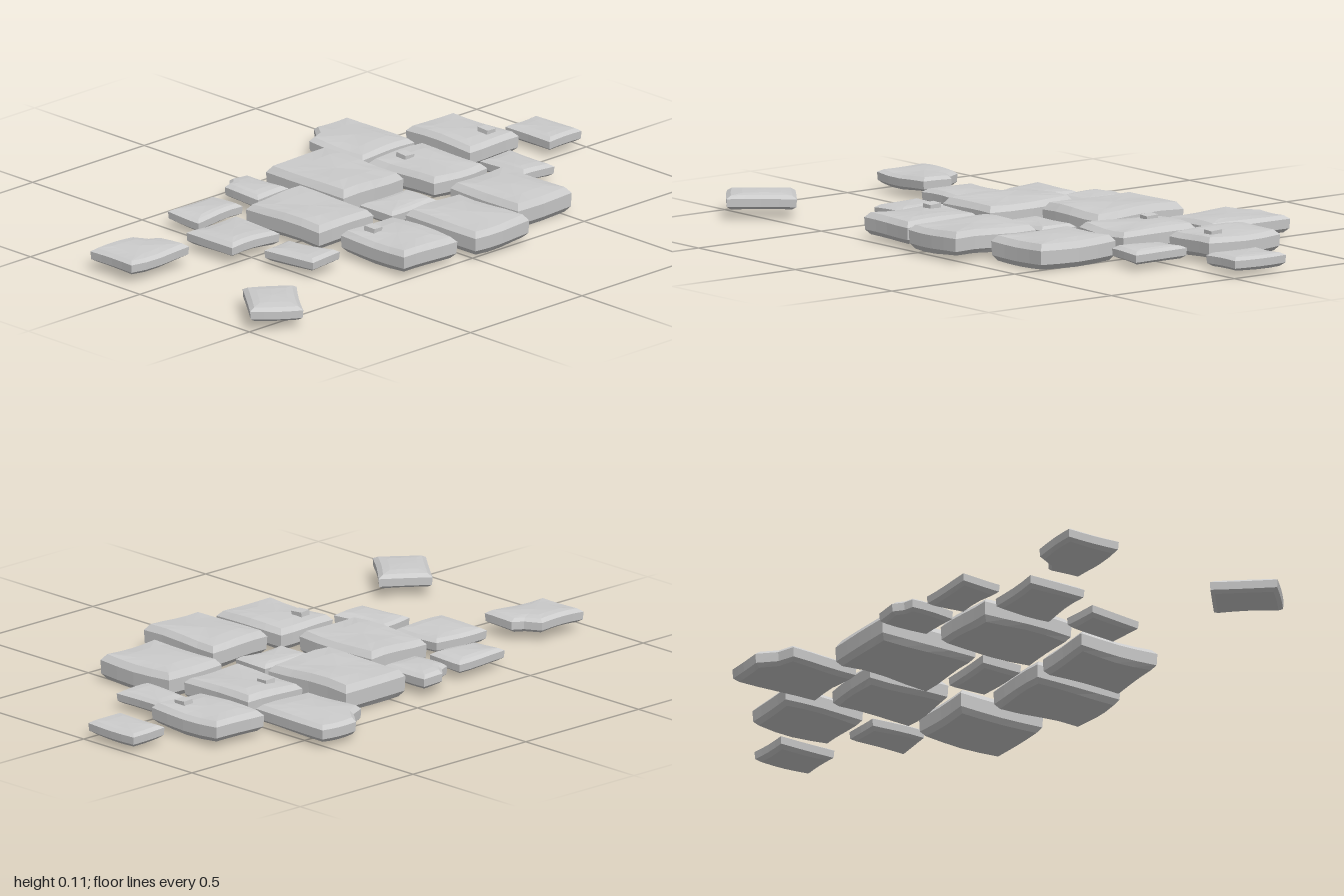
import * as THREE from 'three';

const material = new THREE.MeshStandardMaterial({ color: 0xcccccc, flatShading: true });

// Corners of a rectangle, clockwise seen from above
const SIGNS = [[-1, -1], [1, -1], [1, 1], [-1, 1]];

// Gentle unevenness of the worn stone
const wave = (x, z, s) => Math.sin(x * 19 + s * 2.3) * Math.cos(z * 15 + s * 1.7);

// Slightly skewed rectangle; one corner may be chipped off by [corner, along x, along z]
function slabCorners(w, d, seed, chip) {
  return SIGNS.flatMap(([sx, sz], i) => {
    const x = sx * (w / 2 - 0.004 + 0.004 * Math.sin(seed * 2.7 + i * 1.9));
    const z = sz * (d / 2 - 0.004 + 0.004 * Math.cos(seed * 1.3 + i * 2.6));
    if (!chip || chip[0] !== i) return [[x, z]];
    const [, cx, cz] = chip;
    const cut = [[x, z - sz * cz], [x - sx * cx * 0.55, z - sz * cz * 0.72], [x - sx * cx, z]];
    return sx * sz > 0 ? cut : cut.reverse();
  });
}

// Subdivide the outline, bowing each long edge slightly
function wornOutline(corners, seed) {
  return corners.flatMap(([x, z], i) => {
    const [nx, nz] = corners[(i + 1) % corners.length];
    const dx = nx - x, dz = nz - z;
    const steps = Math.hypot(dx, dz) > 0.1 ? 4 : 1;
    return Array.from({ length: steps }, (_, k) => {
      const t = k / steps;
      const bow = Math.sin(t * Math.PI) * 0.02 * Math.sin(seed * 3.1 + i * 2.2);
      return [x + dx * t - dz * bow, z + dz * t + dx * bow];
    });
  });
}

// Slab skin: rings from the underside centre, around the bevelled rim, to the top centre
function slabGeometry(w, d, y0, y1, seed, chip) {
  const outline = wornOutline(slabCorners(w, d, seed, chip), seed);
  const h = y1 - y0;
  // scale, inset, height, unevenness
  const rings = [
    [0, 0, y0, 0], [1, 0.016, y0, 0.006], [1, 0.002, y0 + h * 0.2, 0.004],
    [1, 0, y1 - h * 0.28, 0.004], [1, 0.016, y1 - 0.004, 0.005],
    [0.55, 0, y1 - 0.001, 0.004], [0, 0, y1, 0.003],
  ];
  const pos = [], index = [], m = outline.length;
  for (const [scale, inset, y, rough] of rings) {
    for (const [x, z] of outline) {
      const px = x * scale * (1 - 2 * inset / w);
      const pz = z * scale * (1 - 2 * inset / d);
      pos.push(px, Math.max(0, y + rough * wave(px, pz, seed)), pz);
    }
  }
  for (let r = 0; r < rings.length - 1; r++) {
    for (let i = 0; i < m; i++) {
      const a = r * m + i, b = r * m + (i + 1) % m;
      if (r > 0) index.push(a, a + m, b);
      if (r < rings.length - 2) index.push(b, a + m, b + m);
    }
  }
  const g = new THREE.BufferGeometry();
  g.setAttribute('position', new THREE.Float32BufferAttribute(pos, 3));
  g.setIndex(index);
  g.computeVertexNormals();
  return g;
}

export function createModel() {
  const group = new THREE.Group();
  group.name = 'stonePath';

  // Paving slab centred on (x, z), with its width, depth, underside and top heights
  function addSlab(x, z, w, d, y0, y1, { turn = 0, chip } = {}) {
    const number = group.children.length + 1;
    const slab = new THREE.Mesh(slabGeometry(w, d, y0, y1, number, chip), material);
    slab.position.set(x, 0, z);
    slab.rotation.y = turn;
    slab.name = `pavingSlab${number}`;
    group.add(slab);
  }

  // Outlying slabs on the right
  addSlab(-0.828, -0.177, 0.255, 0.2, 0.03, 0.08, { chip: [1, 0.065, 0.075] });
  addSlab(-0.859, 0.461, 0.182, 0.232, 0.03, 0.08, { turn: -0.67 });

  // Small slabs around the right edge
  addSlab(-0.393, -0.316, 0.212, 0.147, 0.025, 0.07);
  addSlab(-0.16, -0.345, 0.15, 0.195, 0.03, 0.08, { chip: [0, 0.06, 0.04] });
  addSlab(-0.492, -0.088, 0.22, 0.212, 0.025, 0.075);
  addSlab(-0.452, 0.178, 0.138, 0.208, 0.022, 0.068, { turn: 0.15 });

  // Large slabs in the middle
  addSlab(-0.21, -0.03, 0.255, 0.345, 0.016, 0.1);
  addSlab(0.093, -0.223, 0.28, 0.362, 0.008, 0.102);
  addSlab(0.084, 0.075, 0.215, 0.148, 0.022, 0.072);
  addSlab(0.386, -0.094, 0.24, 0.305, 0.015, 0.09);

  // Front row
  addSlab(-0.182, 0.344, 0.24, 0.302, 0.018, 0.094);
  addSlab(0.11, 0.367, 0.252, 0.33, 0.018, 0.1);
  addSlab(0.402, 0.264, 0.252, 0.318, 0.005, 0.092);

  // Back and left edge
  addSlab(0.398, -0.448, 0.248, 0.324, 0.02, 0.08, { chip: [0, 0.1, 0.08] });
  addSlab(0.667, -0.227, 0.216, 0.302, 0.02, 0.092);
  addSlab(0.63, 0.058, 0.143, 0.212, 0.02, 0.066);
  addSlab(0.92, -0.112, 0.152, 0.215, 0.02, 0.068);

  // Small pebbles resting on three slabs
  [[0.35, 0.09, -0.165], [0.7, 0.092, -0.15], [-0.22, 0.095, 0.27]].forEach(([x, y, z], i) => {
    const pebble = new THREE.Mesh(new THREE.BoxGeometry(0.038, 0.024, 0.044), material);
    pebble.position.set(x, y, z);
    pebble.rotation.set(0.06, 0.05 * (i - 1), -0.05);
    pebble.name = `pebble${i + 1}`;
    group.add(pebble);
  });
  return group;
}
